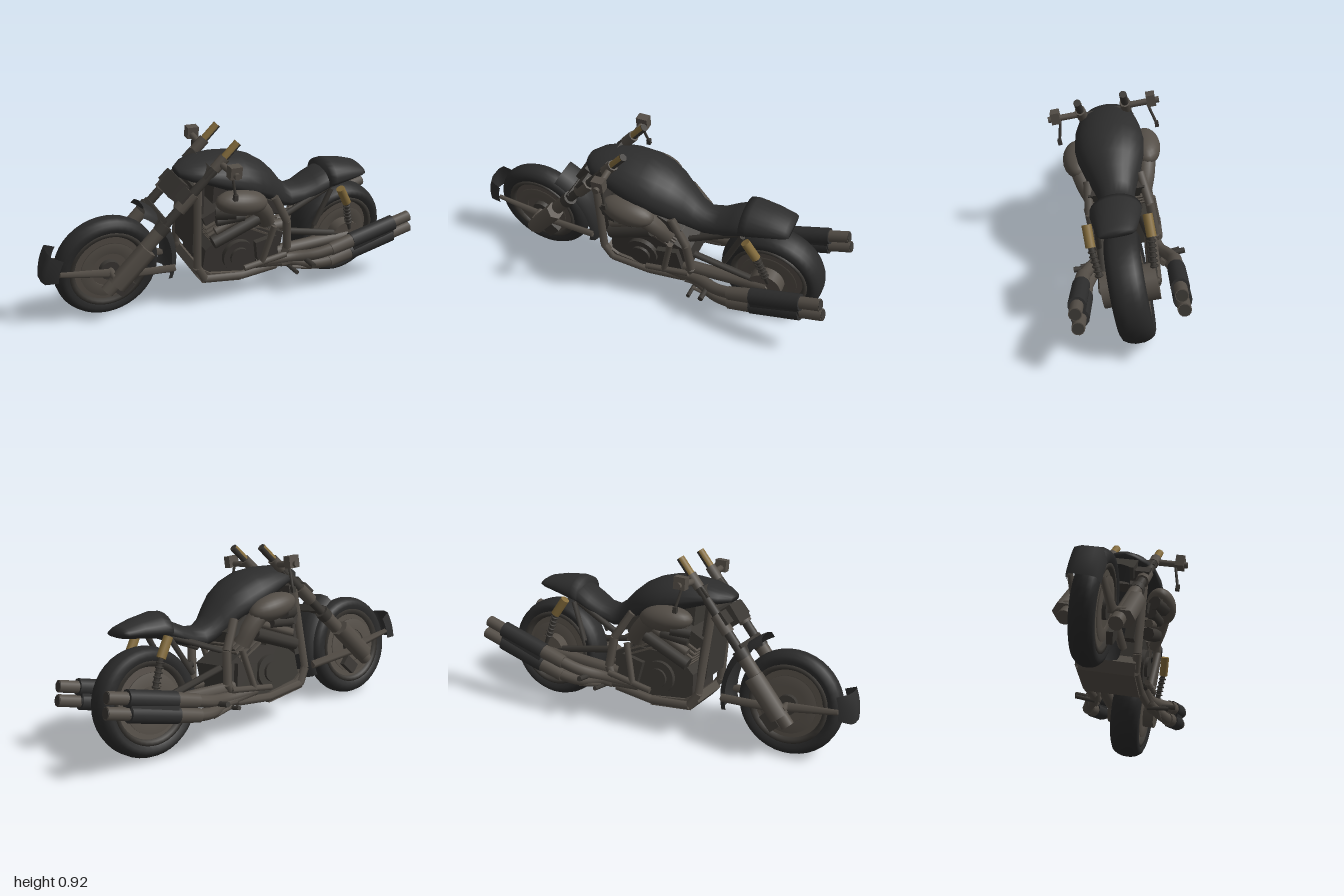
import * as THREE from 'three';

const mat = (name, color, side = THREE.FrontSide) => {
  const m = new THREE.MeshStandardMaterial({ color, side });
  m.name = name;
  return m;
};
const V = (p) => new THREE.Vector3(...p);

export function createModel() {
  const body = mat('black paint', 0x2d2d2d);
  const rubber = mat('tyre rubber', 0x2a2a2a);
  const metal = mat('warm metal', 0x544e47);
  const dark = mat('dark metal', 0x3a3733);
  const gold = mat('gold', 0x846c3c);
  const guard = mat('black guard', 0x2f2f2f, THREE.DoubleSide);

  const bike = new THREE.Group();
  bike.name = 'motorcycle';
  const add = (name, geo, m, pos = [0, 0, 0], rotZ = 0) => {
    const mesh = new THREE.Mesh(geo, m);
    mesh.name = name;
    mesh.position.set(...pos);
    mesh.rotation.z = rotZ;
    bike.add(mesh);
    return mesh;
  };
  const box = (name, size, pos, m, rotZ = 0) => add(name, new THREE.BoxGeometry(...size), m, pos, rotZ);
  // Straight rod between two points
  const rod = (name, a, b, r, m, seg = 12, r2 = r) => {
    const d = V(b).sub(V(a));
    const mesh = add(name, new THREE.CylinderGeometry(r2, r, d.length(), seg), m,
      V(a).add(V(b)).multiplyScalar(0.5).toArray());
    mesh.quaternion.setFromUnitVectors(new THREE.Vector3(0, 1, 0), d.normalize());
    return mesh;
  };
  const tube = (name, pts, r, m) => add(name,
    new THREE.TubeGeometry(new THREE.CatmullRomCurve3(pts.map(V), false, 'centripetal'), 24, r, 10), m);
  // Flat disc with its axis across the bike
  const disc = (name, r, w, pos, m, seg = 32) =>
    add(name, new THREE.CylinderGeometry(r, r, w, seg).rotateX(Math.PI / 2), m, pos);
  // Side profile extruded across z
  const plate = (name, pts, z, depth, m) => add(name, new THREE.ExtrudeGeometry(
    new THREE.Shape(pts.map((p) => new THREE.Vector2(...p))), { depth, bevelEnabled: false }), m, [0, 0, z - depth / 2]);
  const lathe = (name, pts, m, pos, start = 0, len = Math.PI * 2) => add(name, new THREE.LatheGeometry(
    pts.map((p) => new THREE.Vector2(...p)), 40, start, len).rotateX(Math.PI / 2), m, pos);

  // Body shell from cross-sections: [x, top, bottom, half width], widest below the middle
  const loft = (name, rows, m, n = 24) => {
    const pos = [], idx = [];
    rows.forEach(([x, top, bot, hw], i) => {
      const mid = bot + (top - bot) * 0.36;
      for (let j = 0; j < n; j++) {
        const a = (j / n) * Math.PI * 2, s = Math.sin(a), c = Math.cos(a);
        pos.push(x, mid + s * (s > 0 ? top - mid : mid - bot), Math.sign(c) * Math.abs(c) ** (s > 0 ? 1 : 0.7) * hw);
        if (i < rows.length - 1) {
          const k = i * n + j, l = i * n + (j + 1) % n;
          idx.push(k, k + n, l, l, k + n, l + n);
        }
      }
    });
    const g = new THREE.BufferGeometry();
    g.setAttribute('position', new THREE.Float32BufferAttribute(pos, 3));
    g.setIndex(idx);
    g.computeVertexNormals();
    return add(name, g, m);
  };

  // Wheels
  const wheel = (name, x, hw) => {
    const c = [x, 0.27, 0];
    lathe(name + 'Tyre', [[0.195, -hw * 0.8], [0.22, -hw], [0.242, -hw * 0.88], [0.256, -hw * 0.6], [0.264, -hw * 0.25],
      [0.264, hw * 0.25], [0.256, hw * 0.6], [0.242, hw * 0.88], [0.22, hw], [0.195, hw * 0.8]], rubber, c);
    lathe(name + 'Rim', [[0.17, -hw * 0.55], [0.18, -hw * 0.86], [0.2, -hw * 0.86], [0.2, hw * 0.86],
      [0.18, hw * 0.86], [0.17, hw * 0.55], [0.17, -hw * 0.55]], dark, c);
    disc(name + 'Web', 0.175, hw * 1.2, c, metal);
    for (const s of [1, -1]) {
      lathe(name + 'BrakeRotor', [[0.09, -0.004], [0.145, -0.004], [0.145, 0.004], [0.09, 0.004], [0.09, -0.004]],
        metal, [x, 0.27, s * hw * 0.85]);
      disc(name + 'Hub', 0.05, 0.03, [x, 0.27, s * (hw * 0.8)], dark, 20);
    }
    rod(name + 'Axle', [x, 0.27, -0.14], [x, 0.27, 0.14], 0.018, metal);
  };
  wheel('front', -0.666, 0.058);
  wheel('rear', 0.652, 0.081);

  // Front wheel guards
  const skirt = (r, w, d) => [[r - d, -w], [r - 0.012, -w * 0.85], [r, -w * 0.4], [r, w * 0.4], [r - 0.012, w * 0.85], [r - d, w]];
  lathe('frontGuard', skirt(0.31, 0.075, 0.075), guard, [-0.69, 0.27, 0], Math.PI * 1.5 - 0.45, 0.5);
  lathe('rearGuard', skirt(0.355, 0.085, 0.04), guard, [-0.666, 0.27, 0], 1.27, 1.38);

  // Tank, seat and tail cowl
  loft('tankAndSeat', [[-0.325, 0.735, 0.735, 0], [-0.32, 0.75, 0.71, 0.05], [-0.27, 0.772, 0.695, 0.105],
    [-0.2, 0.788, 0.68, 0.14], [-0.1, 0.796, 0.64, 0.165], [0, 0.79, 0.6, 0.175], [0.08, 0.765, 0.57, 0.165],
    [0.15, 0.725, 0.54, 0.142], [0.21, 0.67, 0.5, 0.112], [0.26, 0.61, 0.475, 0.09], [0.31, 0.573, 0.465, 0.085],
    [0.38, 0.578, 0.485, 0.095], [0.45, 0.615, 0.515, 0.108], [0.52, 0.65, 0.545, 0.11], [0.56, 0.64, 0.56, 0.1],
    [0.56, 0.6, 0.6, 0]], body);
  loft('tailCowl', [[0.51, 0.62, 0.62, 0], [0.512, 0.68, 0.55, 0.12], [0.55, 0.686, 0.555, 0.12], [0.65, 0.672, 0.575, 0.105],
    [0.73, 0.65, 0.59, 0.088], [0.75, 0.636, 0.6, 0.078], [0.75, 0.615, 0.615, 0]], body);
  box('headlight', [0.06, 0.1, 0.14], [-0.33, 0.65, 0], dark, -0.7);
  box('radiator', [0.05, 0.36, 0.22], [-0.235, 0.5, 0], dark, 0.03);

  // Engine core
  plate('crankcase', [[-0.2, 0.2], [-0.17, 0.17], [0.12, 0.16], [0.24, 0.22], [0.25, 0.36], [0.14, 0.41], [-0.1, 0.41], [-0.19, 0.33]], 0, 0.25, dark);
  plate('bellyPan', [[-0.24, 0.2], [-0.2, 0.15], [0.02, 0.125], [0.04, 0.17], [-0.16, 0.2], [-0.22, 0.24]], 0, 0.28, metal);
  box('airBox', [0.3, 0.22, 0.16], [0, 0.57, 0], dark);
  for (const [x, tilt] of [[-0.09, 0.45], [0.09, -0.45]]) {
    const at = (t) => [x - Math.sin(tilt) * t, 0.4 + Math.cos(tilt) * t, 0];
    box('cylinder', [0.13, 0.2, 0.22], at(0.07), dark, tilt);
    for (let i = 0; i < 5; i++) box('coolingFin', [0.15, 0.01, 0.26], at(i * 0.024), metal, tilt);
    box('cylinderHead', [0.14, 0.05, 0.28], at(0.15), dark, tilt);
  }

  // Everything that is mirrored from side to side
  for (const s of [1, -1]) {
    const fork = (t, z = 0.115) => [-0.7 + 0.64 * t, 0.19 + 0.71 * t, s * z];
    rod('forkSlider', fork(0), fork(0.42), 0.034, metal);
    rod('forkShroud', fork(0.06, 0.14), fork(0.3, 0.14), 0.048, metal, 6);
    rod('forkTube', fork(0.4), fork(0.84), 0.023, dark);
    rod('forkCollar', fork(0.4), fork(0.45), 0.037, dark);
    rod('forkCollar', fork(0.55), fork(0.66), 0.034, metal, 8);
    rod('forkTip', fork(0.83), fork(1), 0.019, dark);
    // Gold upper half of the tip
    const goldTip = add('goldForkTip', new THREE.CylinderGeometry(0.021, 0.021, 0.11, 10, 1, true, Math.PI, Math.PI), gold, fork(0.942));
    goldTip.rotation.z = -Math.atan2(0.64, 0.71);
    box('brakeCaliper', [0.09, 0.06, 0.03], [-0.6, 0.18, s * 0.085], dark, 0.8);
    rod('guardArm', [-0.63, 0.25, s * 0.085], [-0.335, 0.235, s * 0.085], 0.022, metal, 4);
    rod('guardArm', [-0.68, 0.27, s * 0.08], [-0.92, 0.3, s * 0.07], 0.024, metal, 4, 0.014);

    // Handlebar
    rod('handlebarClamp', fork(0.82), fork(0.9), 0.028, metal, 8);
    rod('handlebar', [-0.145, 0.8, s * 0.11], [-0.135, 0.805, s * 0.285], 0.016, metal);
    box('switchBox', [0.06, 0.06, 0.045], [-0.135, 0.815, s * 0.245], metal);
    rod('lever', [-0.135, 0.79, s * 0.225], [-0.12, 0.69, s * 0.25], 0.007, dark, 6);
    box('leverEnd', [0.02, 0.03, 0.02], [-0.12, 0.68, s * 0.252], dark);

    // Intakes and engine covers
    add('intakeCover', new THREE.SphereGeometry(1, 24, 16).scale(0.14, 0.065, 0.075), metal, [-0.04, 0.605, s * 0.175], -0.12);
    tube('intakeDuct', [[-0.15, 0.59, s * 0.15], [-0.06, 0.615, s * 0.185], [0.04, 0.58, s * 0.17], [0.1, 0.52, s * 0.15], [0.14, 0.45, s * 0.12]], 0.047, metal);
    rod('intakeMouth', [-0.17, 0.56, s * 0.16], [-0.08, 0.57, s * 0.2], 0.036, dark, 8);
    rod('intakeMouth', [-0.16, 0.51, s * 0.15], [-0.02, 0.53, s * 0.17], 0.03, dark, 8);
    rod('lowerRail', [-0.17, 0.39, s * 0.155], [0.07, 0.49, s * 0.155], 0.034, dark, 8);
    rod('lowerRailTop', [-0.16, 0.45, s * 0.15], [0.05, 0.54, s * 0.15], 0.022, metal, 8);
    disc('crankCover', 0.085, 0.03, [-0.01, 0.28, s * 0.135], dark, 24);
    disc('crankCap', 0.05, 0.02, [-0.01, 0.28, s * 0.155], dark, 20);
    box('gearCover', [0.12, 0.13, 0.04], [0.15, 0.29, s * 0.135], dark, 0.2);

    // Frame rails
    const rail = [[-0.25, 0.7, 0.1], [-0.235, 0.25, 0.14], [-0.19, 0.175, 0.14], [0.02, 0.155, 0.14], [0.22, 0.18, 0.14],
      [0.27, 0.28, 0.15], [0.25, 0.44, 0.15], [0.17, 0.58, 0.13]];
    for (let i = 0; i + 1 < rail.length; i++) {
      const [a, b] = [rail[i], rail[i + 1]].map(([x, y, z]) => [x, y, z * s]);
      rod('frameRail', a, b, 0.022, metal, 6);
    }
    rod('frameBrace', [0.02, 0.21, s * 0.165], [0.26, 0.25, s * 0.165], 0.016, metal, 6);
    rod('frameBrace', [0.12, 0.22, s * 0.165], [0.17, 0.43, s * 0.165], 0.016, metal, 6);
    rod('seatRail', [0.25, 0.44, s * 0.1], [0.53, 0.57, s * 0.085], 0.016, dark, 6);

    // Swingarm and rear suspension
    rod('swingarm', [0.22, 0.25, s * 0.12], [0.66, 0.27, s * 0.115], 0.033, metal, 8);
    rod('swingarmBrace', [0.28, 0.36, s * 0.12], [0.6, 0.29, s * 0.115], 0.018, dark, 6);
    disc('finalDrive', 0.085, 0.06, [0.652, 0.27, s * 0.1], metal, 24);
    rod('goldReservoir', [0.56, 0.575, s * 0.14], [0.615, 0.485, s * 0.14], 0.023, gold);
    rod('shockRod', [0.615, 0.485, s * 0.138], [0.67, 0.31, s * 0.12], 0.014, dark);
    for (let i = 0; i < 6; i++) {
      const c = [0.62 + i * 0.007, 0.465 - i * 0.022, s * (0.137 - i * 0.002)];
      const ring = add('springCoil', new THREE.TorusGeometry(0.016, 0.005, 6, 14).rotateX(Math.PI / 2), dark, c);
      ring.rotation.z = 0.36;
    }
    rod('tailStay', [0.53, 0.56, s * 0.1], [0.44, 0.37, s * 0.12], 0.015, dark, 6);

    // Stacked exhausts
    for (const [y, x0] of [[0, 0], [-0.07, 0.015]]) {
      const at = (x) => [x, 0.395 + y + (x - 0.965) * 0.28, s * (0.228 + (x - 0.9) * 0.02)];
      tube('exhaustPipe', [[0.1, 0.21, s * 0.13], [0.3, 0.215 + y * 0.3, s * 0.15], [0.42, 0.24 + y * 0.8, s * 0.2], at(0.52), at(0.63)], 0.03, metal);
      rod('exhaustSleeve', at(0.5), at(0.63), 0.034, metal, 12, 0.038);
      rod('muffler', at(0.62), at(0.87), 0.042, body, 12);
      rod('exhaustTip', at(0.86), at(0.965 + x0), 0.03, metal);
      rod('exhaustMouth', at(0.965 + x0), at(0.968 + x0), 0.026, dark);
    }
    // Sleeve joining the two mufflers
    box('mufflerShell', [0.25, 0.09, 0.06], [0.745, 0.3, s * 0.226], body, 0.27);

    // Foot pegs and pedal links
    rod('footPeg', [0.37, 0.21, s * 0.14], [0.37, 0.22, s * 0.275], 0.014, dark, 8);
    rod('footPeg', [0.29, 0.17, s * 0.14], [0.29, 0.18, s * 0.25], 0.011, dark, 8);
    rod('pegBracket', [0.24, 0.19, s * 0.16], [0.42, 0.2, s * 0.16], 0.018, metal, 4);
    rod('pedal', [0.29, 0.18, s * 0.19], [0.41, 0.16, s * 0.2], 0.01, metal, 6);
  }

  // Fork bridges
  box('lowerBridge', [0.07, 0.05, 0.28], [-0.31, 0.64, 0], dark, 0.8);
  box('upperBridge', [0.06, 0.035, 0.27], [-0.2, 0.75, 0], dark, 0.8);
  box('guardBridge', [0.05, 0.04, 0.26], [-0.42, 0.51, 0], dark, 0.8);

  // Lean on the stand, with a slight yaw
  const model = new THREE.Group();
  model.name = 'model';
  bike.rotation.order = 'YXZ';
  bike.rotation.set(0.19, 0.035, 0);
  model.add(bike);
  model.updateMatrixWorld(true);
  bike.position.set(0, -new THREE.Box3().setFromObject(model, true).min.y, -0.1);
  return model;
}
